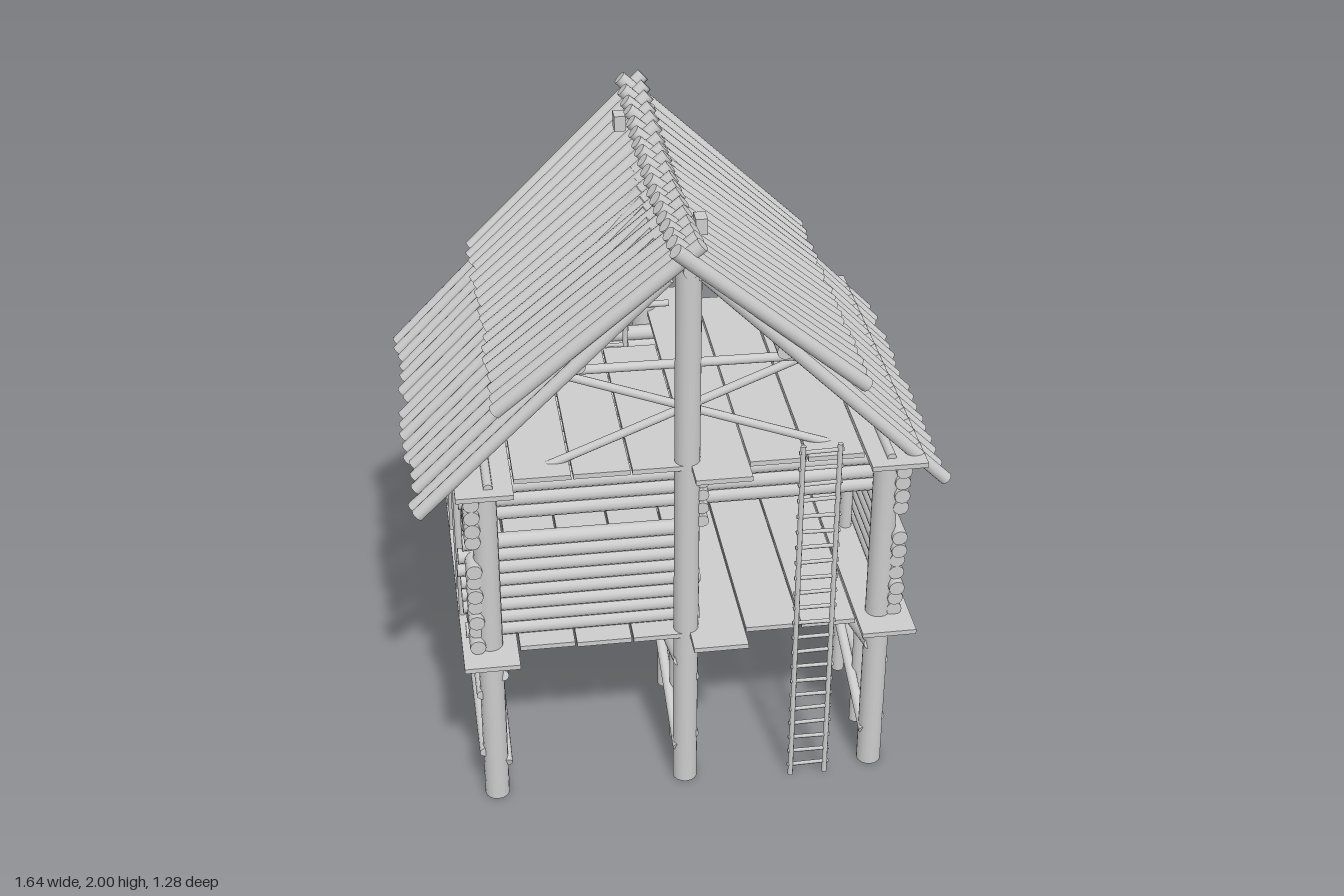
import * as THREE from 'three';

const material = new THREE.MeshStandardMaterial({ color: 0xcccccc });
const UP = new THREE.Vector3(0, 1, 0);

export function createModel() {
  const model = new THREE.Group();

  // small seeded variation for hand-cut timber
  let seed = 7;
  const vary = (amount) => {
    seed = (seed * 16807) % 2147483647;
    return (seed / 2147483647 - 0.5) * 2 * amount;
  };

  const part = (name) => {
    const group = new THREE.Group();
    group.name = name;
    model.add(group);
    return group;
  };

  // round timber between two points
  const pole = (parent, name, a, b, r, sides = 12) => {
    const from = new THREE.Vector3(...a);
    const dir = new THREE.Vector3(...b).sub(from);
    const mesh = new THREE.Mesh(new THREE.CylinderGeometry(r, r, dir.length(), sides), material);
    mesh.name = name;
    mesh.position.copy(from).addScaledVector(dir, 0.5);
    mesh.quaternion.setFromUnitVectors(UP, dir.normalize());
    parent.add(mesh);
  };

  const board = (parent, name, size, pos) => {
    const mesh = new THREE.Mesh(new THREE.BoxGeometry(...size), material);
    mesh.name = name;
    mesh.position.set(...pos);
    parent.add(mesh);
  };

  const rows = [-0.59, 0.02, 0.63];

  // stilts: thick end posts, thin ones between
  const posts = part('posts');
  rows.forEach((x, i) => {
    for (const z of [-0.48, 0.48]) {
      pole(posts, 'mainPost', [x, 0, z], [x, i === 1 ? 1.93 : 1.21, z], 0.039, 16);
    }
    for (const z of [-0.28, 0, 0.28]) {
      pole(posts, 'thinPost', [x, 0, z], [x, z === 0 && i !== 1 ? 1.2 : 0.59, z], 0.021);
    }
  });

  // cross braces and rails under the floor
  const braces = part('stiltBraces');
  rows.forEach((x, i) => {
    const out = i === 0 ? 0.035 : -0.025;
    pole(braces, 'diagonalBrace', [x + out, 0.13, 0.5], [x + out, 0.48, -0.5], 0.017);
    pole(braces, 'diagonalBrace', [x + out, 0.48, 0.5], [x + out, 0.13, -0.5], 0.017);
    pole(braces, 'upperRail', [x - out, 0.41, 0.5], [x - out, 0.41, -0.54], 0.016);
    pole(braces, 'lowerRail', [x - out, 0.18, 0.5], [x - out, 0.17, -0.5], 0.016);
  });

  // plank floors; boards on the post rows stick out
  const floors = [['floor', 0.588], ['loftFloor', 1.203]];
  for (const [name, y] of floors) {
    const floor = part(name);
    const count = 8;
    const pitch = 1.41 / count;
    for (let i = 0; i < count; i++) {
      const x = -0.68 + pitch * (i + 0.5);
      const inRow = rows.some((r) => Math.abs(r - x) < pitch / 2 + 0.005);
      const half = (inRow && (i === 0 || i === 4 || i === 7)) ? 0.6 : 0.515;
      const width = pitch - 0.006;
      const level = y + vary(0.003);
      if (name === 'loftFloor' && i === 3) {
        // hatch for the inner ladder
        board(floor, 'plank', [width, 0.016, half + 0.22], [x, level, (half - 0.22) / 2]);
        board(floor, 'plank', [width, 0.016, 0.07], [x, level, -0.48]);
      } else {
        board(floor, 'plank', [width, 0.016, half * 2], [x, level, 0]);
      }
    }
  }

  // log walls with an open strip below the top courses
  const r = 0.0245;
  const pitch = 0.0465;
  const courses = (start, count) => Array.from({ length: count }, (_, i) => start + i * pitch);
  const longLower = courses(0.62, 8);
  const longUpper = courses(1.05, 3);
  const frontWall = part('frontWall');
  const backWall = part('backWall');
  const log = (parent, y, x0, x1, z) =>
    pole(parent, 'wallLog', [x0 + vary(0.02), y, z], [x1 + vary(0.02), y + vary(0.003), z], r);
  for (const y of longLower) {
    log(backWall, y, -0.66, 0.71, -0.43);
    log(frontWall, y, -0.66, 0.05, 0.435); // the other half is the doorway
  }
  for (const y of longUpper) {
    log(backWall, y, -0.66, 0.71, -0.43);
    log(frontWall, y, -0.66, 0.71, 0.435);
  }

  for (const [name, x, out] of [['leftWall', 0.675, 0.034], ['rightWall', -0.63, -0.034]]) {
    const wall = part(name);
    for (const y of [...courses(0.617, 7), ...courses(1.0, 4)]) {
      pole(wall, 'wallLog', [x, y, 0.52 + vary(0.012)], [x, y + vary(0.003), -0.525 + vary(0.012)], r);
    }
    for (const z of [-0.31, -0.17, 0.17, 0.31]) {
      pole(wall, 'wallStake', [x + out, 0.59, z], [x + out, 1.17, z], 0.011, 8);
    }
    pole(wall, 'wallPlate', [x - out * 1.5, 1.215, 0.56], [x - out * 1.5, 1.215, -0.56], 0.014);
  }

  // short log ends beside the centre post
  const stubs = part('doorJamb');
  for (const y of courses(1.0, 4)) pole(stubs, 'jambLog', [0.065, y, 0.4], [0.065, y, 0.5], 0.02);

  // ladders
  const ladder = (name, x0, x1, z, y0, y1) => {
    const group = part(name);
    for (const x of [x0, x1]) pole(group, 'ladderRail', [x, y0, z], [x, y1, z], 0.0085, 8);
    for (let y = y0 + 0.04; y < y1 - 0.02; y += 0.057) {
      pole(group, 'rung', [x0 - 0.012, y, z], [x1 + 0.012, y + vary(0.004), z], 0.0065, 6);
    }
  };
  ladder('frontLadder', 0.36, 0.472, 0.53, 0, 1.26);
  ladder('innerLadder', -0.155, -0.06, -0.34, 0.6, 1.52);

  // front gable frame
  const gable = part('gableFrame');
  pole(gable, 'tieBeam', [-0.41, 1.53, 0.45], [0.41, 1.525, 0.45], 0.014);
  pole(gable, 'gableBrace', [-0.42, 1.19, 0.435], [0.39, 1.52, 0.435], 0.013);
  pole(gable, 'gableBrace', [0.46, 1.2, 0.425], [-0.39, 1.52, 0.425], 0.013);
  pole(gable, 'hatchRail', [-0.62, 1.235, -0.45], [0.1, 1.235, -0.45], 0.011);
  pole(gable, 'ridgeBeam', [0.02, 1.86, 0.52], [0.02, 1.86, -0.52], 0.022);
  for (const s of [-1, 1]) {
    pole(gable, 'purlin', [0.305 * s, 1.57, 0.5], [0.305 * s, 1.57, -0.5], 0.027);
  }

  // roof: straight lower logs, fanned upper logs crossing at a sagging ridge
  const roof = part('roof');
  const lowerCount = 17;
  const upperCount = 19;
  for (const s of [-1, 1]) {
    for (let i = 0; i < lowerCount; i++) {
      const t = (i / (lowerCount - 1)) * 2 - 1;
      const drop = vary(0.012);
      pole(roof, 'lowerRoofLog', [0.05 * s, 1.87, 0.56 * t],
        [(0.795 + drop) * s, 1.115 - drop, 0.535 * t + vary(0.008)], 0.02);
    }
    for (let i = 0; i < upperCount; i++) {
      const t = (i / (upperCount - 1)) * 2 - 1;
      const top = 1.942 + 0.04 * t * t + vary(0.004);
      const drop = vary(0.008);
      pole(roof, 'upperRoofLog', [-0.04 * s, top, 0.608 * t + 0.012 * s],
        [(0.54 + drop) * s, 1.455 - drop, 0.515 * t + vary(0.006)], 0.0225);
    }
    board(roof, 'ridgePeg', [0.035, 0.05, 0.05], [0.07 * s, 1.935, 0.37 * s]);
  }

  return model;
}
